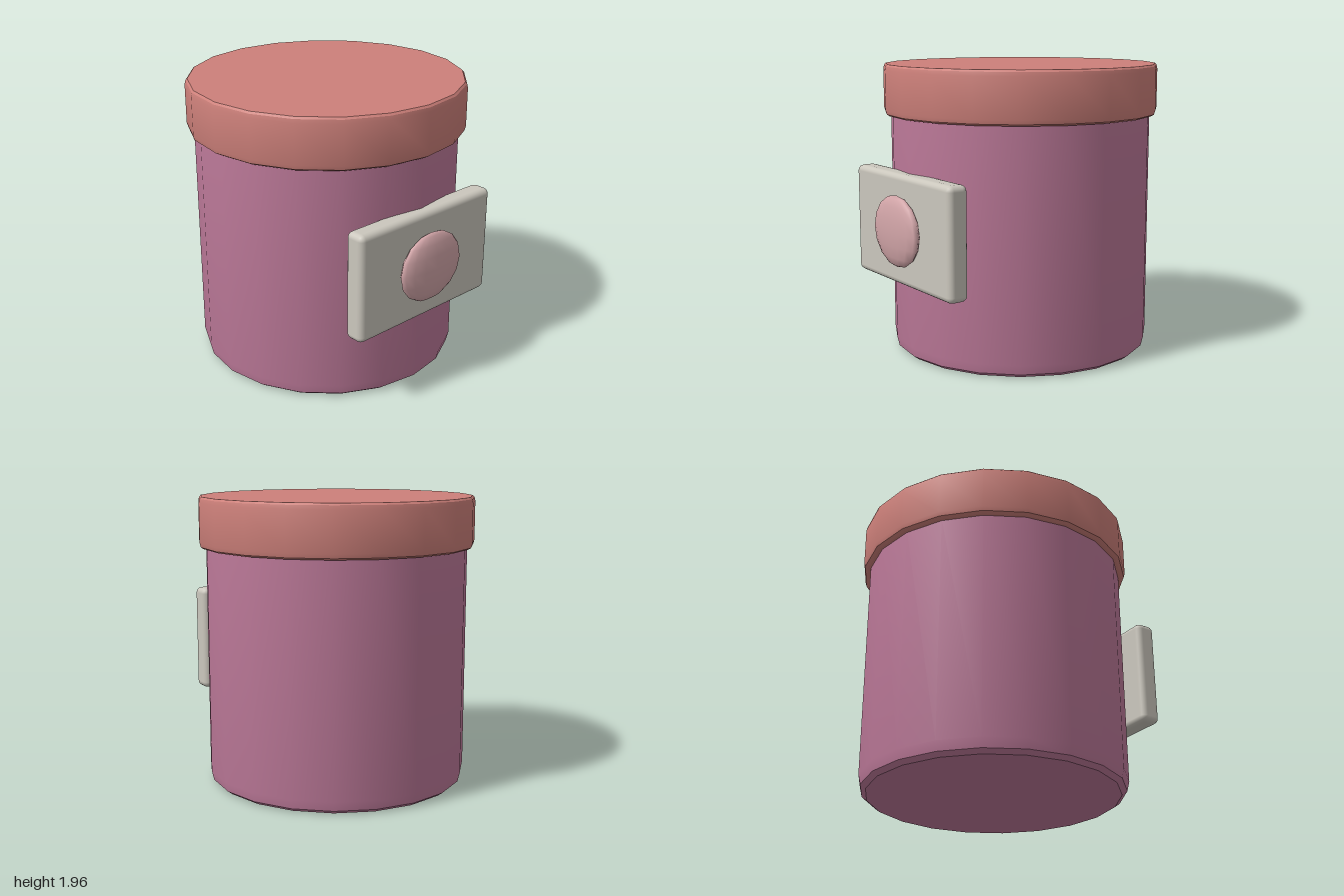
import * as THREE from 'three';
import { toCreasedNormals } from 'three/addons/utils/BufferGeometryUtils.js';
import { RoundedBoxGeometry } from 'three/addons/geometries/RoundedBoxGeometry.js';

const SIDES = 20;
const AXIS_Z = -0.055; // the jar sits slightly back, balancing the label

function material(name, color) {
  const m = new THREE.MeshStandardMaterial({ color });
  m.name = name;
  return m;
}

// Closed turned solid from [radius, height] pairs, bottom to top
function turned(profile) {
  const points = profile.map(([r, y]) => new THREE.Vector2(r, y));
  return toCreasedNormals(new THREE.LatheGeometry(points, SIDES), 0.5);
}

export function createModel() {
  const model = new THREE.Group();
  model.name = 'jar';

  const add = (name, geometry, mat, x, y, z) => {
    const mesh = new THREE.Mesh(geometry, mat);
    mesh.name = name;
    mesh.position.set(x, y, z);
    model.add(mesh);
    return mesh;
  };

  // Jar body with a bevelled foot
  add('body', turned([
    [0, 0], [0.845, 0], [0.88, 0.026], [0.895, 0.09], [0.895, 1.64], [0, 1.64],
  ]), material('mauve', 0xbe7a9a), 0, 0, AXIS_Z);

  // Overhanging lid with softened rims
  add('lid', turned([
    [0, 1.62], [0.915, 1.62], [0.935, 1.632], [0.943, 1.66],
    [0.943, 1.925], [0.937, 1.95], [0.925, 1.963], [0, 1.963],
  ]), material('coral', 0xcd807a), 0, 0, AXIS_Z);

  // Label plate on the front
  add('labelPlate', new RoundedBoxGeometry(1.19, 0.74, 0.145, 2, 0.04),
    material('warmGrey', 0xcbc7bd), 0, 0.9, 0.84);

  // Flattened oval button on the plate
  const button = add('button', new THREE.SphereGeometry(1, 16, 8),
    material('palePink', 0xd2a5a8), 0, 0.9, 0.94);
  button.scale.set(0.275, 0.238, 0.06);

  return model;
}
